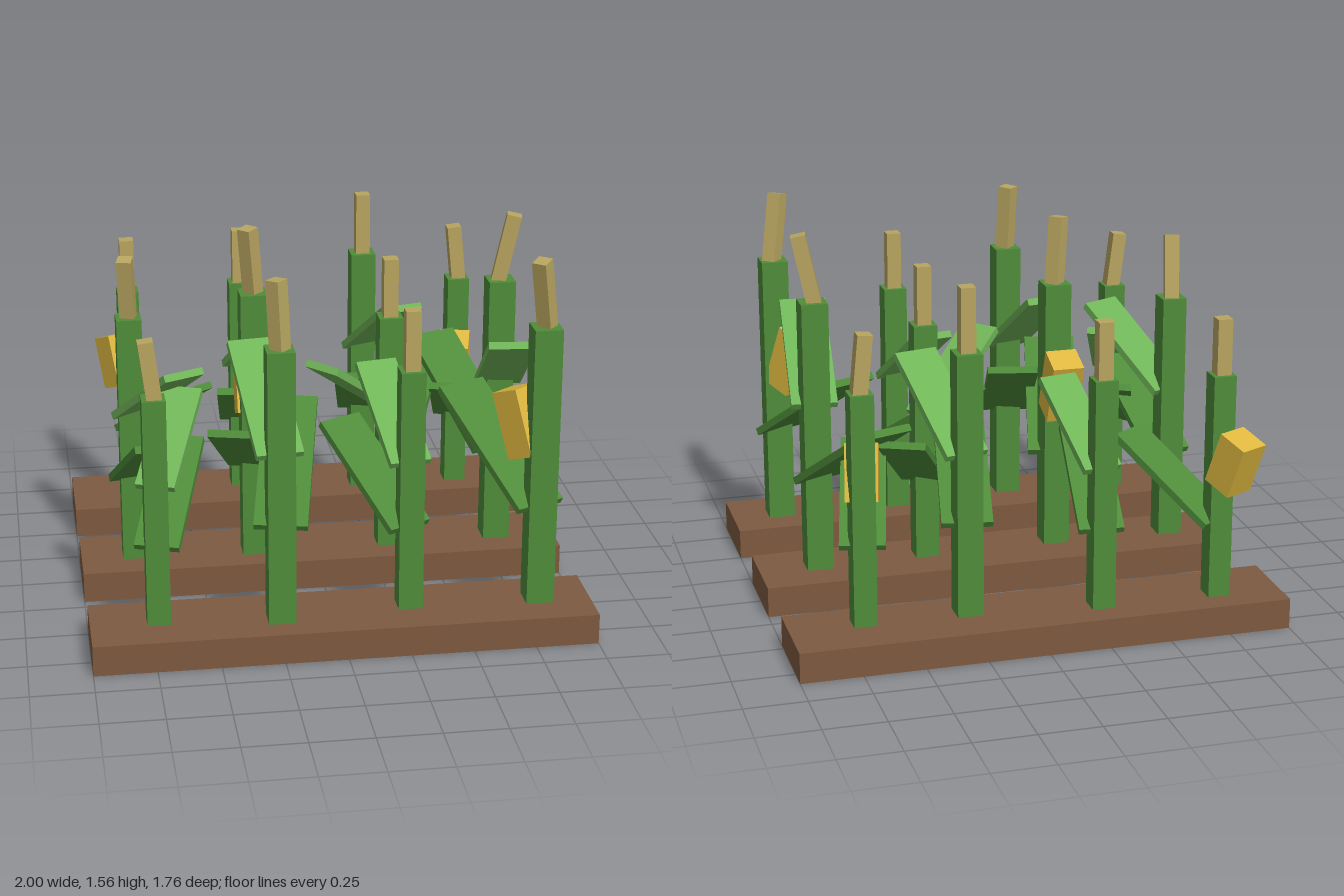
import * as THREE from 'three';

const mat = (name, color) => {
  const m = new THREE.MeshStandardMaterial({ color });
  m.name = name;
  return m;
};

// One row per plant: x, z, height, tassel lean x and z, heading of the lower leaf,
// heading of the upper leaf or cob (radians from +z towards +x)
const leafyPlants = [
  [-0.73, 0.67, 1.06, -0.025, 0, 2.82, 2.76],
  [-0.25, 0.717, 1.25, -0.01, -0.01, 2.93, -3.01],
  [0.27, 0.66, 1.12, 0, 0, -2.67, -2.96],
  [-0.777, 0.025, 1.17, -0.01, 0.04, 0.16, 0.45],
  [0.29, 0.04, 1.13, 0, 0, 2.72, -0.87],
  [0.75, 0.025, 1.262, 0.05, 0.01, -2.79, -0.1],
  [-0.25, -0.69, 1.07, 0, 0, -0.12, 0.18],
  [0.28, -0.62, 1.2, 0, 0, -0.18, 0.23],
];
const cobPlants = [
  [0.79, 0.675, 1.275, -0.035, 0.04, -2.71, -2.53],
  [-0.275, 0.05, 1.26, -0.02, 0.02, -0.25, 3.14],
  [-0.735, -0.692, 1.05, 0, 0, 0.6, -2.68],
  [0.7, -0.615, 1.07, -0.02, 0, -0.24, -0.25],
];

export function createModel() {
  const soil = mat('soil brown', 0x7d5a40);
  const stalkGreen = mat('stalk green', 0x4f8c3a);
  const leafGreen = mat('light leaf green', 0x70b558);
  const tasselTan = mat('tassel tan', 0xb8a560);
  const cobYellow = mat('cob yellow', 0xdfb840);

  const model = new THREE.Group();
  model.name = 'cropField';

  const box = (parent, name, material, w, h, d, pos) => {
    const mesh = new THREE.Mesh(new THREE.BoxGeometry(w, h, d), material);
    mesh.name = name;
    mesh.position.copy(pos);
    parent.add(mesh);
    return mesh;
  };

  // straight bar from a to b with the given width and thickness
  const bar = (parent, name, material, a, b, width, thickness) => {
    const centre = a.clone().lerp(b, 0.5);
    box(parent, name, material, width, thickness, a.distanceTo(b), centre).lookAt(b);
  };

  const addPlant = ([x, z, h, leanX, leanZ, lowHeading, highHeading], hasCob) => {
    const plant = new THREE.Group();
    plant.name = 'cornPlant';
    model.add(plant);

    // point at a distance from the stalk and a height, both as shares of the plant's height
    const at = (heading, reach, level) => new THREE.Vector3(
      x + Math.sin(heading) * reach * h, level * h, z + Math.cos(heading) * reach * h);

    const base = 0.1;
    const width = 0.087 * h;
    box(plant, 'stalk', stalkGreen, width, h - base, width, new THREE.Vector3(x, (h + base) / 2, z));

    const tip = new THREE.Vector3(x + leanX, 1.217 * h, z + leanZ);
    const foot = new THREE.Vector3(x - leanX * 0.3, 0.97 * h, z - leanZ * 0.3);
    bar(plant, 'tassel', tasselTan, foot, tip, 0.06, 0.06);

    bar(plant, 'lowerLeaf', stalkGreen, at(lowHeading, 0, 0.41), at(lowHeading, 0.43, 0.68), 0.17 * h, 0.03);
    if (hasCob) {
      bar(plant, 'cob', cobYellow, at(highHeading, 0.045, 0.57), at(highHeading, 0.12, 0.77), 0.13, 0.13);
    } else {
      bar(plant, 'upperLeaf', leafGreen, at(highHeading, 0, 0.65), at(highHeading, 0.37, 0.9), 0.15 * h, 0.03);
    }
  };

  // three soil beds
  for (let i = -1; i <= 1; i++) {
    box(model, 'soilBed', soil, 2, 0.125, 0.374, new THREE.Vector3(0, 0.0625, 0.013 + i * 0.668));
  }
  leafyPlants.forEach((p) => addPlant(p, false));
  cobPlants.forEach((p) => addPlant(p, true));
  return model;
}
